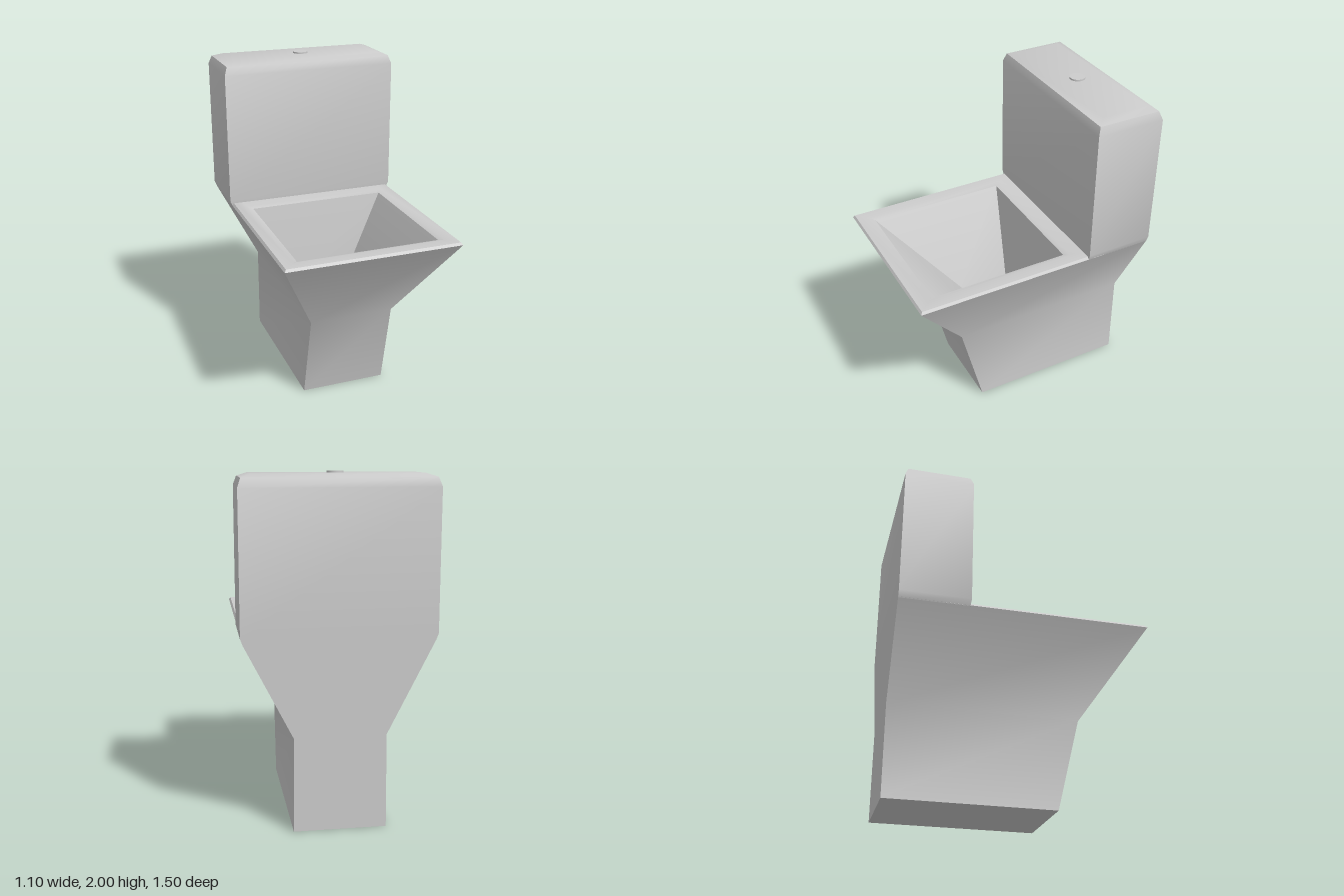
import * as THREE from 'three';
import { toCreasedNormals } from 'three/addons/utils/BufferGeometryUtils.js';

const material = new THREE.MeshStandardMaterial({ color: 0xcccccc });

// Skins a stack of rectangles [halfWidth, zBack, zFront, y] and caps both ends
function loft(name, rings) {
  const positions = [];
  const index = [];
  for (const [w, zb, zf, y] of rings) {
    positions.push(-w, y, zf, w, y, zf, w, y, zb, -w, y, zb);
  }
  const quad = (a, b, c, d) => index.push(a, b, c, a, c, d);
  for (let r = 0; r < rings.length - 1; r++) {
    for (let i = 0; i < 4; i++) {
      const j = (i + 1) % 4;
      quad(r * 4 + i, r * 4 + j, r * 4 + 4 + j, r * 4 + 4 + i);
    }
  }
  const last = (rings.length - 1) * 4;
  quad(3, 2, 1, 0);
  quad(last, last + 1, last + 2, last + 3);

  const geometry = new THREE.BufferGeometry();
  geometry.setAttribute('position', new THREE.Float32BufferAttribute(positions, 3));
  geometry.setIndex(index);
  const mesh = new THREE.Mesh(toCreasedNormals(geometry, 0.6), material);
  mesh.name = name;
  return mesh;
}

export function createModel() {
  const group = new THREE.Group();
  group.name = 'toilet';

  // Pedestal flaring out to the rim, then turning down into the bowl
  group.add(loft('pedestalAndBowl', [
    [0.265, -0.75, 0.25, 0],
    [0.262, -0.75, 0.385, 0.55],
    [0.535, -0.75, 0.75, 1.085],
    [0.525, -0.72, 0.74, 1.1],
    [0.46, -0.25, 0.67, 1.1],
    [0.43, -0.22, 0.64, 1.09],
    [0.165, -0.15, 0.18, 0.56],
    [0.12, -0.15, -0.03, 0.35],
  ]));

  // Cistern with a bevelled lid
  group.add(loft('cistern', [
    [0.533, -0.75, -0.335, 1.08],
    [0.548, -0.75, -0.33, 1.12],
    [0.548, -0.75, -0.33, 1.92],
    [0.53, -0.732, -0.348, 1.97],
    [0.475, -0.68, -0.4, 1.99],
  ]));

  // Flush button
  const button = new THREE.Mesh(new THREE.CylinderGeometry(0.047, 0.047, 0.02, 32), material);
  button.name = 'flushButton';
  button.position.set(0, 1.99, -0.53);
  group.add(button);

  return group;
}
